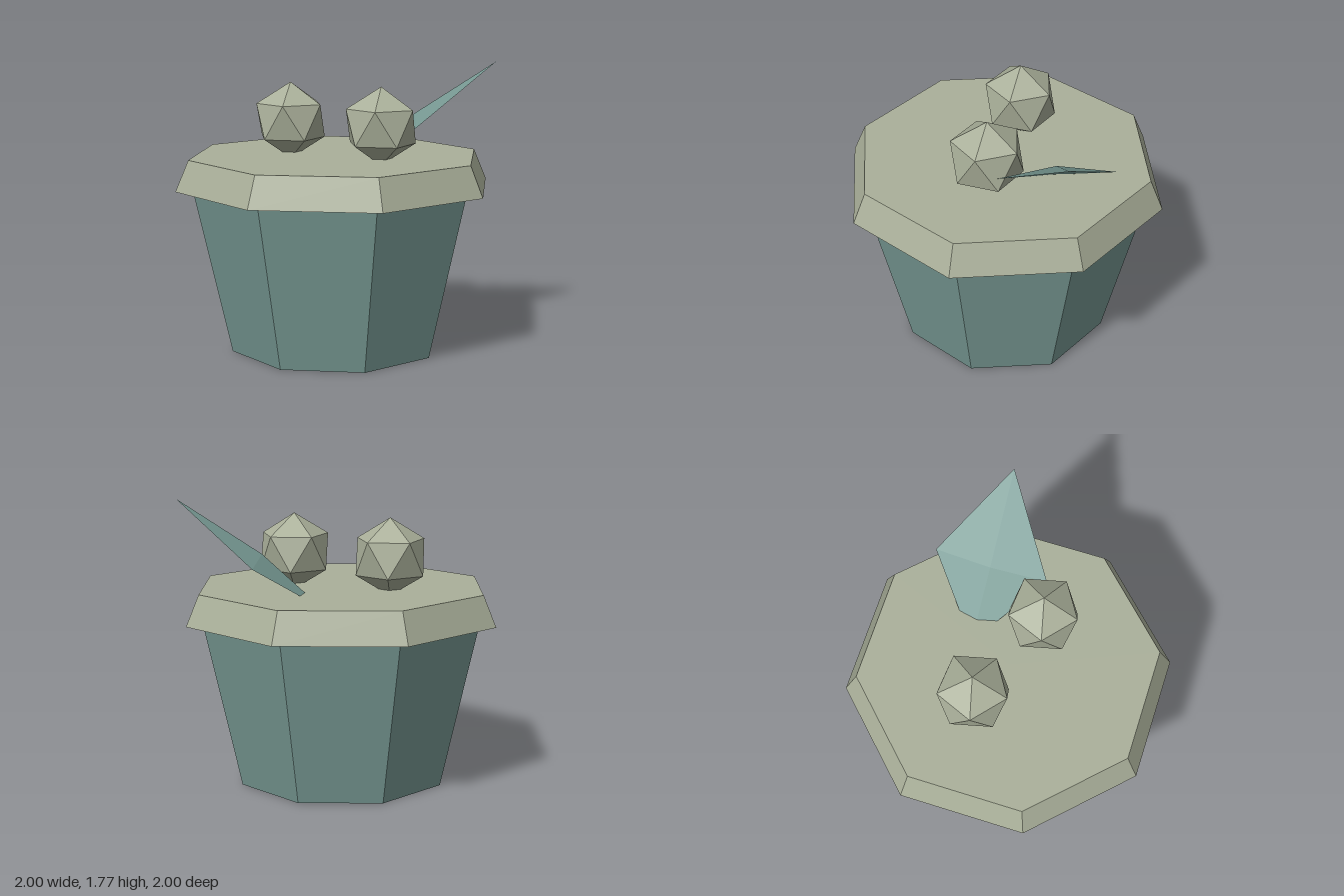
import * as THREE from 'three';

export function createModel() {
  const model = new THREE.Group();
  const teal = new THREE.MeshStandardMaterial({ color: 0x789a94, flatShading: true });
  teal.name = 'teal';
  const sage = new THREE.MeshStandardMaterial({ color: 0xaab09a, flatShading: true });
  sage.name = 'sage';

  const add = (name, geometry, material, x = 0, y = 0, z = 0) => {
    const mesh = new THREE.Mesh(geometry, material);
    mesh.name = name;
    mesh.position.set(x, y, z);
    model.add(mesh);
  };

  // Eight-sided tapered cup with an overhanging top
  add('cup', new THREE.CylinderGeometry(0.893, 0.66, 1.02, 8), teal, 0, 0.51);
  add('top', new THREE.CylinderGeometry(0.918, 1, 0.19, 8), sage, 0, 1.115);

  // Faceted berries, one corner straight up, sunk slightly into the top
  const berry = new THREE.IcosahedronGeometry(0.24, 0);
  berry.rotateX(-Math.atan((1 + Math.sqrt(5)) / 2));
  berry.rotateY(Math.PI / 2);
  add('rightBerry', berry, sage, -0.32, 1.406);
  add('leftBerry', berry, sage, 0.32, 1.406);

  // Kite-shaped leaf: a flat back and a low peak on the front
  const tip = [0.8, 1.775, -0.63];
  const backCorner = [0.23, 1.405, -0.768];
  const stem = [-0.005, 1.11, -0.294];
  const frontCorner = [0.5, 1.395, -0.12];
  const peak = [0.335, 1.443, -0.427];
  const rim = [tip, backCorner, stem, frontCorner];
  const points = [];
  rim.forEach((p, i) => points.push(...peak, ...p, ...rim[(i + 1) % 4]));
  points.push(...tip, ...stem, ...backCorner, ...tip, ...frontCorner, ...stem);
  const leaf = new THREE.BufferGeometry();
  leaf.setAttribute('position', new THREE.Float32BufferAttribute(points, 3));
  leaf.computeVertexNormals();
  add('leaf', leaf, teal);

  return model;
}
